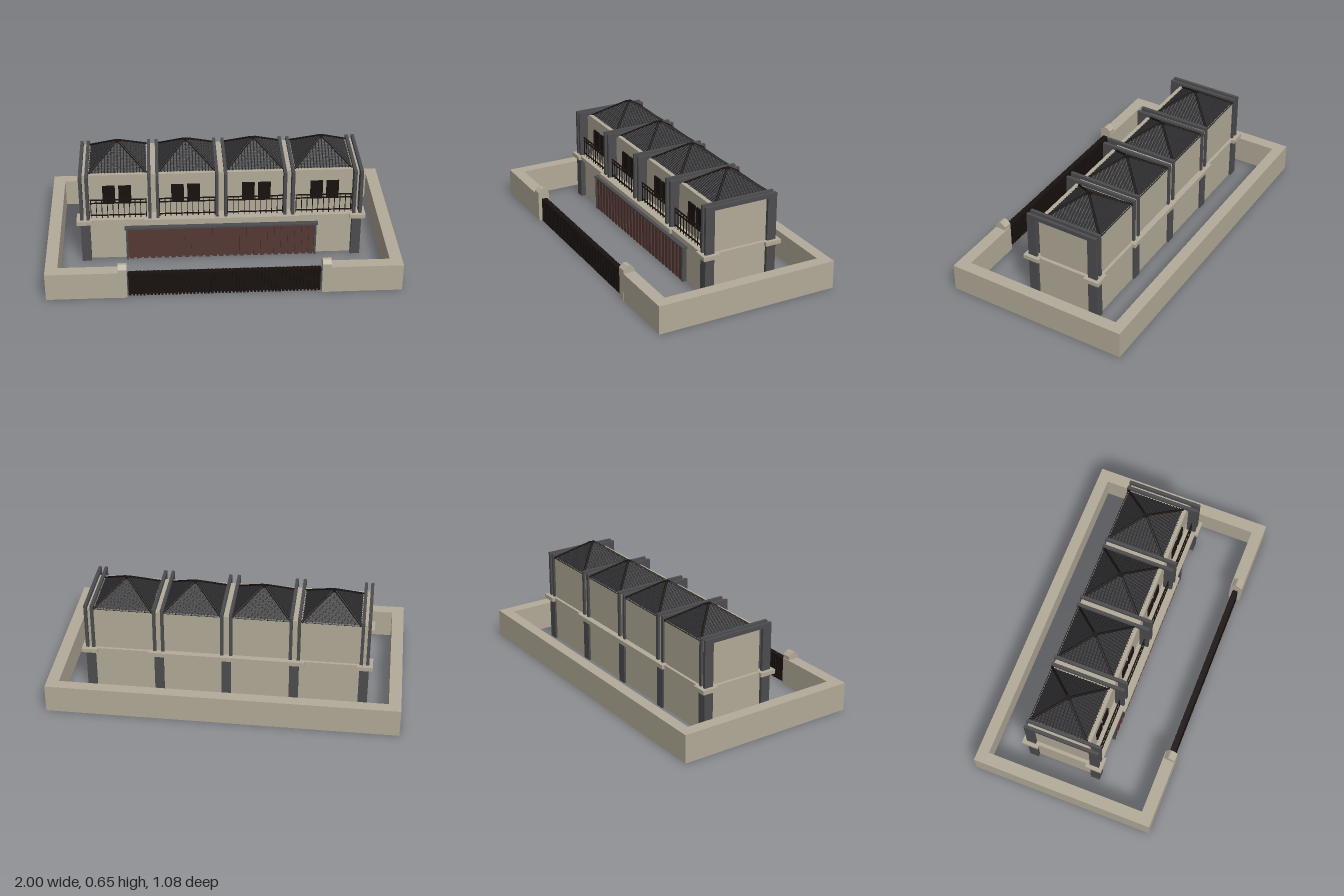
import * as THREE from 'three';
import { mergeGeometries } from 'three/addons/utils/BufferGeometryUtils.js';

const mat = (color) => new THREE.MeshStandardMaterial({ color, flatShading: true });
const V = (x, y, z) => new THREE.Vector3(x, y, z);

// Box geometry given by its lower and upper corner
function box(x0, x1, y0, y1, z0, z1) {
  return new THREE.BoxGeometry(x1 - x0, y1 - y0, z1 - z0)
    .translate((x0 + x1) / 2, (y0 + y1) / 2, (z0 + z1) / 2);
}

// Round bar between two points
function bar(a, b, r, sides = 6) {
  const d = b.clone().sub(a);
  const g = new THREE.CylinderGeometry(r, r, d.length(), sides);
  g.applyQuaternion(new THREE.Quaternion().setFromUnitVectors(V(0, 1, 0), d.normalize()));
  const m = a.clone().add(b).multiplyScalar(0.5);
  return g.translate(m.x, m.y, m.z);
}

export function createModel() {
  const model = new THREE.Group();
  const stone = mat(0xb3ab99), grey = mat(0x4d4d4f), tile = mat(0x2b2a2d);
  const black = mat(0x18110f), brown = mat(0x553a35);
  const add = (name, geos, material, parent = model) => {
    const mesh = new THREE.Mesh(mergeGeometries(geos), material);
    mesh.name = name;
    parent.add(mesh);
    return mesh;
  };

  // Boundary wall, open at the gate
  const yard = [box(-1, 1, 0, 0.165, -0.54, -0.475)];
  for (const s of [-1, 1]) {
    const [a, b] = s < 0 ? [-1, -0.93] : [0.93, 1];
    yard.push(box(a, b, 0, 0.165, -0.475, 0.47));
    const [c, d] = s < 0 ? [-1, -0.55] : [0.55, 1];
    yard.push(box(c, d, 0, 0.165, 0.47, 0.54));
  }
  add('boundaryWall', yard, stone);

  // Gabled gate posts
  const gable = new THREE.Shape([[0.475, 0], [0.541, 0], [0.541, 0.185], [0.518, 0.205],
    [0.508, 0.207], [0.498, 0.205], [0.475, 0.185]].map((p) => new THREE.Vector2(...p)));
  for (const s of [-1, 1]) {
    const post = new THREE.ExtrudeGeometry(gable, { depth: 0.05, bevelEnabled: false })
      .rotateY(-Math.PI / 2).translate(s * 0.57 + 0.025, 0, 0);
    add('gatePost', [post], stone);
  }

  // Ribbed gate
  const gate = [box(-0.54, 0.54, 0.003, 0.14, 0.5, 0.512), box(-0.54, 0.54, 0.132, 0.145, 0.492, 0.52)];
  for (let i = 0; i < 54; i++) {
    const x = -0.53 + i * 0.02;
    gate.push(box(x - 0.006, x + 0.006, 0, 0.145, 0.489, 0.523));
  }
  add('gate', gate, black);
  add('gateHinges', [-1, 1].map((s) => box(s * 0.545 - 0.007, s * 0.545 + 0.007, 0, 0.14, 0.495, 0.518)), grey);

  // House body: ground floor and upper floor
  add('groundFloor', [box(-0.79, 0.79, 0, 0.26, -0.268, 0.13)], stone);
  add('upperFloor', [box(-0.79, 0.79, 0.27, 0.535, -0.268, 0.095)], stone);

  // Floor slab with wider corners and middle
  const slab = [box(-0.81, 0.81, 0.257, 0.277, -0.285, 0.163),
    box(-0.445, 0.445, 0.255, 0.28, -0.303, 0.178)];
  for (const s of [-1, 1]) {
    const x0 = s * 0.785 - 0.045, x1 = s * 0.785 + 0.045;
    slab.push(box(x0, x1, 0.254, 0.278, 0.083, 0.18), box(x0, x1, 0.254, 0.278, -0.303, -0.207));
  }
  add('floorSlab', slab, stone);

  // Ground floor pillars at the corners and along the back
  const pillars = [];
  for (const x of [-0.782, -0.387, 0, 0.387, 0.782]) {
    pillars.push(box(x - 0.027, x + 0.027, 0, 0.26, -0.28, -0.225));
    if (Math.abs(x) > 0.7) pillars.push(box(x - 0.027, x + 0.027, 0, 0.26, 0.105, 0.16));
  }
  add('lowerPillars', pillars, grey);

  // Paired portal frames between the bays
  const frames = [];
  for (const [c, h] of [[-0.782, 0.018], [-0.387, 0.023], [0, 0.025], [0.387, 0.023], [0.782, 0.018]]) {
    for (const s of [-1, 1]) {
      const x0 = c + s * h - 0.009, x1 = c + s * h + 0.009;
      frames.push(box(x0, x1, 0.27, 0.555, 0.105, 0.16), box(x0, x1, 0.27, 0.555, -0.28, -0.225),
        box(x0, x1, 0.53, 0.555, -0.225, 0.105));
    }
  }
  add('portalFrames', frames, grey);

  // Corrugated shutter with its frame
  const shutter = [box(-0.54, 0.54, 0.005, 0.205, 0.128, 0.143)];
  for (let i = 0; i < 27; i++) {
    const x = -0.52 + i * 0.04;
    shutter.push(box(x - 0.013, x + 0.013, 0.003, 0.205, 0.14, 0.154));
  }
  add('shutter', shutter, brown);
  add('shutterFrame', [box(-0.56, 0.56, 0.203, 0.214, 0.125, 0.16),
    box(-0.552, -0.54, 0, 0.205, 0.125, 0.157), box(0.54, 0.552, 0, 0.205, 0.125, 0.157)], grey);

  // Four bays, each with a hipped roof, two windows and a balcony rail
  for (const cx of [-0.588, -0.195, 0.195, 0.588]) {
    const bay = new THREE.Group();
    bay.name = 'bay';
    bay.position.x = cx;
    model.add(bay);

    // Hipped roof
    const hx = 0.167, hz = 0.173, cz = -0.098, base = 0.531, rise = 0.117, flat = 0.06;
    const roof = new THREE.CylinderGeometry(flat * Math.SQRT2, Math.SQRT2, rise, 4)
      .rotateY(Math.PI / 4).scale(hx, 1, hz).translate(0, base + rise / 2, cz);
    add('roof', [roof], tile, bay);

    // Tile ribs running up each slope, and tile courses across
    const at = (u, v, t) => V(u * hx, base + rise * t / (1 - flat), cz + v * hz);
    const ribs = [], hips = [];
    for (let i = -8; i <= 8; i++) {
      const u = i * 0.108, top = Math.max(Math.abs(u), flat);
      for (const s of [-1, 1]) {
        ribs.push(bar(at(u, s, 0), at(u, s * top, 1 - top), 0.0035, 5));
        ribs.push(bar(at(s, u, 0), at(s * top, u, 1 - top), 0.0035, 5));
      }
    }
    for (let i = 0; i < 10; i++) {
      const t = i * 0.092, w = 1 - t;
      for (const s of [-1, 1]) {
        ribs.push(bar(at(-w, s * w, t), at(w, s * w, t), 0.0025, 4));
        ribs.push(bar(at(s * w, -w, t), at(s * w, w, t), 0.0025, 4));
      }
    }
    add('roofTiles', ribs, tile, bay);

    // Hip ridges and cap
    for (const sx of [-1, 1]) for (const sz of [-1, 1]) {
      hips.push(bar(at(sx, sz, 0), at(sx * flat, sz * flat, 1 - flat), 0.007, 8));
    }
    hips.push(box(-0.014, 0.014, 0.64, 0.652, cz - 0.016, cz + 0.016));
    add('hipRidges', hips, black, bay);

    // Windows
    const wc = Math.sign(cx) * 0.008, panes = [], trims = [];
    for (const s of [-1, 1]) {
      const x = wc + s * 0.046;
      panes.push(box(x - 0.031, x + 0.031, 0.355, 0.46, 0.09, 0.099));
      for (const e of [-1, 1]) {
        trims.push(box(x + e * 0.033 - 0.003, x + e * 0.033 + 0.003, 0.35, 0.466, 0.09, 0.104));
        const y = 0.408 + e * 0.055;
        trims.push(box(x - 0.035, x + 0.035, y - 0.003, y + 0.003, 0.09, 0.104));
      }
    }
    add('windowPanes', panes, black, bay);
    add('windowFrames', trims, black, bay);

    // Balcony railing
    const rail = [], z = 0.136;
    for (const y of [0.295, 0.375, 0.396]) rail.push(box(-0.162, 0.162, y - 0.003, y + 0.003, z - 0.003, z + 0.003));
    for (let i = 0; i <= 10; i++) {
      const x = -0.158 + i * 0.0316;
      rail.push(box(x - 0.002, x + 0.002, 0.277, 0.396, z - 0.002, z + 0.002));
    }
    add('balconyRail', rail, black, bay);
  }
  return model;
}
